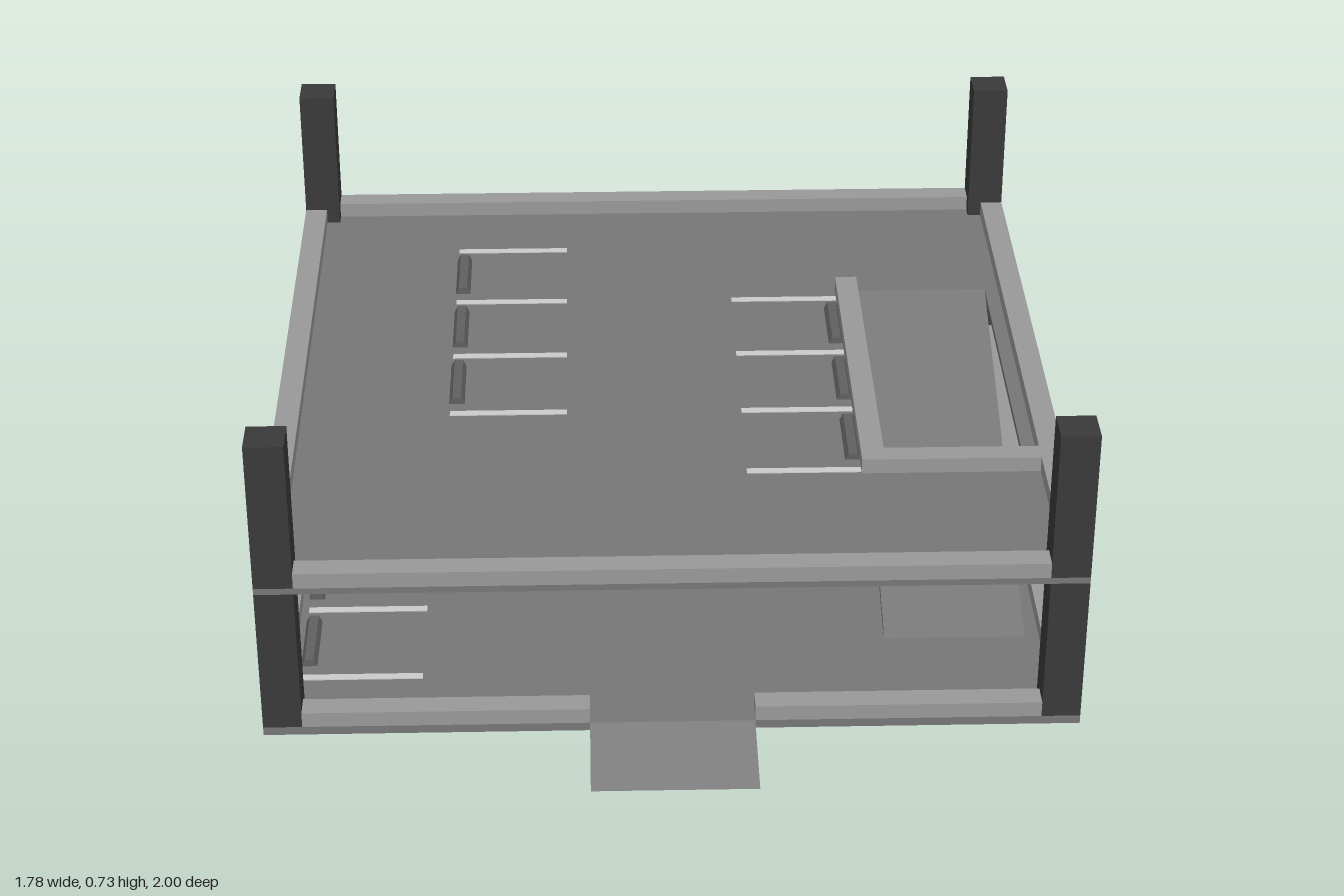
import * as THREE from 'three';

const mat = (color) => new THREE.MeshStandardMaterial({ color, flatShading: true });

export function createModel() {
  const model = new THREE.Group();
  const floorMat = mat(0x777777), curbMat = mat(0x999999), postMat = mat(0x3a3a3a);
  const rampMat = mat(0x808080), lineMat = mat(0xdddddd), stopMat = mat(0x606060);

  const X = 0.89, Z0 = -1, Z1 = 0.78, POST = 0.085, CURB = 0.053, CURB_H = 0.036;
  const LOWER = 0.02, UPPER = 0.38;

  const add = (name, geometry, material, parent = model) => {
    const mesh = new THREE.Mesh(geometry, material);
    mesh.name = name;
    parent.add(mesh);
    return mesh;
  };
  // Box given by its extents on each axis
  const box = (name, x0, x1, y0, y1, z0, z1, material, parent) => {
    const mesh = add(name, new THREE.BoxGeometry(x1 - x0, y1 - y0, z1 - z0), material, parent);
    mesh.position.set((x0 + x1) / 2, (y0 + y1) / 2, (z0 + z1) / 2);
    return mesh;
  };
  // Profile of (z, y) points extruded along x, centred on x = 0
  const prism = (points, width) => {
    const shape = new THREE.Shape(points.map(([z, y]) => new THREE.Vector2(z, y)));
    return new THREE.ExtrudeGeometry(shape, { depth: width, bevelEnabled: false })
      .translate(0, 0, -width / 2)
      .rotateY(-Math.PI / 2);
  };

  // Floors: the upper one has an opening for the ramp
  const hole = { x0: 0.487, x1: 0.805, z0: -0.515, z1: 0.295 };
  box('lowerFloor', -X, X, 0, LOWER, Z0, Z1, floorMat);
  const rect = (T, x0, x1, z0, z1) => new T([
    new THREE.Vector2(x0, -z0), new THREE.Vector2(x0, -z1),
    new THREE.Vector2(x1, -z1), new THREE.Vector2(x1, -z0)]);
  const slab = rect(THREE.Shape, -X, X, Z0, Z1);
  slab.holes.push(rect(THREE.Path, hole.x0, hole.x1, hole.z0, hole.z1));
  add('upperFloor', new THREE.ExtrudeGeometry(slab, { depth: 0.015, bevelEnabled: false })
    .rotateX(-Math.PI / 2), floorMat).position.y = UPPER - 0.015;

  // Corner posts, one section per storey
  for (const x of [-X, X - POST]) {
    for (const z of [Z0, Z1 - POST]) {
      box('lowerPost', x, x + POST, LOWER, UPPER - 0.015, z, z + POST, postMat);
      box('upperPost', x, x + POST, UPPER, 0.73, z, z + POST, postMat);
    }
  }

  // Curbs around both floors, with a gap at the entrance
  const curb = (name, y, x0, x1, z0, z1) => box(name, x0, x1, y, y + CURB_H, z0, z1, curbMat);
  const xi = X - POST, za = Z0 + POST, zb = Z1 - POST, gate = 0.18;
  for (const y of [LOWER, UPPER]) {
    curb('rightCurb', y, -X, -X + CURB, za, zb);
    curb('leftCurb', y, X - CURB, X, za, zb);
    curb('backCurb', y, -xi, xi, Z0, Z0 + CURB);
  }
  curb('frontCurb', UPPER, -xi, xi, Z1 - CURB, Z1);
  curb('frontCurbRight', LOWER, -xi, -gate, Z1 - CURB, Z1);
  curb('frontCurbLeft', LOWER, gate, xi, Z1 - CURB, Z1);
  // Curbs around the ramp opening
  curb('openingSideCurb', UPPER, hole.x0 - 0.052, hole.x0, -0.52, 0.345);
  curb('openingFrontCurb', UPPER, hole.x0, X - CURB, 0.295, 0.345);

  // Entrance ramp and the ramp between floors
  add('entranceRamp', prism([[Z1, 0], [1, 0], [Z1, LOWER]], gate * 2), rampMat);
  add('innerRamp', prism([[-0.515, 0.362], [0.43, LOWER], [0.473, LOWER], [-0.515, UPPER]],
    hole.x1 - hole.x0), floorMat).position.x = (hole.x0 + hole.x1) / 2;

  // Parking rows: count bays along local z, lines running along +x, wheel stops near x = 0
  const BAY = 0.268;
  const stopGeo = prism([[-0.018, 0], [0.018, 0], [0.01, 0.016], [-0.01, 0.016]], 0.178)
    .rotateY(Math.PI / 2);
  const parkingRow = (name, count, x, y, z, angle, length = 0.27) => {
    const row = new THREE.Group();
    row.name = name;
    for (let i = 0; i <= count; i++) {
      const c = i * BAY;
      box('bayLine', 0, length, 0, 0.002, c - 0.01, c + 0.01, lineMat, row);
      if (i < count) add('wheelStop', stopGeo, stopMat, row).position.set(0.015, 0, c + BAY / 2);
    }
    row.position.set(x, y, z);
    row.rotation.y = angle;
    model.add(row);
  };
  parkingRow('upperRightBays', 3, -0.495, UPPER, -0.745, 0);
  parkingRow('upperLeftBays', 3, 0.435, UPPER, 0.33, Math.PI, 0.257);
  parkingRow('lowerRightBays', 5, -0.82, LOWER, -0.745, 0);
  parkingRow('lowerLeftBays', 2, 0.82, LOWER, -0.21, Math.PI);
  parkingRow('lowerBackBays', 5, 0.815, LOWER, -0.9, -Math.PI / 2);

  return model;
}
